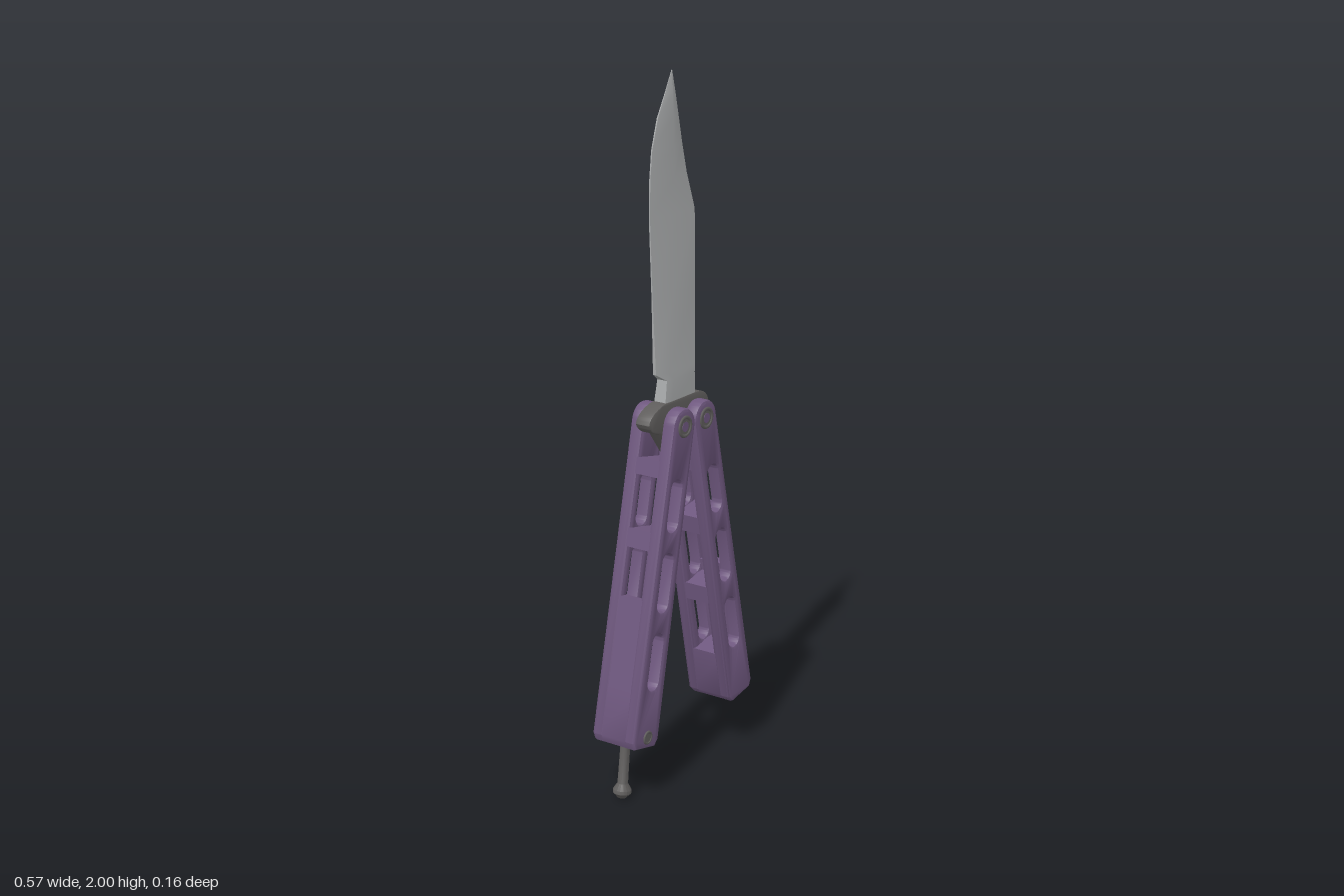
import * as THREE from 'three';
import { toCreasedNormals } from 'three/addons/utils/BufferGeometryUtils.js';

const material = (name, color) => {
  const m = new THREE.MeshStandardMaterial({ color });
  m.name = name;
  return m;
};

const PIVOT_X = 0.05, PIVOT_Y = 1.045, TILT = 0.206, LENGTH = 0.9;
const halfWidth = d => 0.05 + 0.007 * d / LENGTH;

function add(parent, name, geometry, mat, x = 0, y = 0, z = 0) {
  const mesh = new THREE.Mesh(geometry, mat);
  mesh.name = name;
  mesh.position.set(x, y, z);
  parent.add(mesh);
  return mesh;
}

// Extrudes a shape between z0 and z1, with an optional inset bevel
function slab(shape, z0, z1, bevel = 0) {
  const geo = new THREE.ExtrudeGeometry(shape, {
    depth: z1 - z0 - 2 * bevel, curveSegments: 12, bevelEnabled: bevel > 0,
    bevelSize: bevel, bevelThickness: bevel, bevelOffset: -bevel, bevelSegments: 2,
  });
  geo.translate(0, 0, z0 + bevel);
  return toCreasedNormals(geo, 0.6);
}

const polygon = pts => new THREE.Shape(pts.map(p => new THREE.Vector2(...p)));

// Round-ended slot between two distances below the pivot
function slot(d0, d1, r = 0.024) {
  const p = new THREE.Path();
  p.absarc(0, -d0 - r, r, 0, Math.PI, false);
  p.absarc(0, -d1 + r, r, Math.PI, Math.PI * 2, false);
  p.closePath();
  return p;
}

// Short cylinder along z
function disc(r, depth, sides = 24) {
  return new THREE.CylinderGeometry(r, r, depth, sides).rotateX(Math.PI / 2);
}

// Channel handle; side is +1 or -1, outer wall faces away from the middle
function makeHandle(side, purple, steel) {
  const g = new THREE.Group();
  g.name = side > 0 ? 'leftHandle' : 'rightHandle';
  g.position.set(side * PIVOT_X, PIVOT_Y, 0);
  g.rotation.z = side * TILT;

  // Slotted face plates
  const outline = new THREE.Shape();
  outline.absarc(0, 0, 0.05, 0, Math.PI, false);
  [[-0.057, -0.88], [-0.044, -LENGTH], [0.044, -LENGTH], [0.057, -0.88]]
    .forEach(p => outline.lineTo(...p));
  outline.closePath();
  outline.holes.push(slot(0.148, 0.292), slot(0.352, 0.516), slot(0.577, 0.735));
  add(g, 'frontPlate', slab(outline, 0.032, 0.073, 0.009), purple);
  add(g, 'backPlate', slab(outline, -0.073, -0.032, 0.009), purple);

  // Bridges joining the plates between the slots
  for (const [a, b] of [[0.1, 0.146], [0.296, 0.348], [0.52, 0.573]]) {
    const wa = halfWidth(a) - 0.001, wb = halfWidth(b) - 0.001;
    add(g, 'bridge', slab(polygon([[-wa, -a], [-wb, -b], [wb, -b], [wa, -a]]), -0.062, 0.062), purple);
  }

  // Solid butt end
  add(g, 'butt', slab(polygon([[-0.055, -0.74], [-0.0565, -0.88], [-0.0435, -LENGTH],
    [0.0435, -LENGTH], [0.0565, -0.88], [0.055, -0.74]]), -0.063, 0.063), purple);

  // Closed outer wall of the lower channel
  const x0 = side * 0.026, xa = side * (halfWidth(0.485) - 0.001), xb = side * (halfWidth(0.76) - 0.001);
  add(g, 'outerWall', slab(polygon([[x0, -0.485], [x0, -0.76], [xb, -0.76], [xa, -0.485]]), -0.062, 0.062), purple);

  // Pivot screw with raised rims
  add(g, 'pivotPin', disc(0.024, 0.148), steel);
  for (const z of [0.071, -0.074]) {
    add(g, 'pivotRim', new THREE.TorusGeometry(0.026, 0.006, 8, 28), steel, 0, 0, z);
    add(g, 'pivotCentre', disc(0.014, 0.004), purple, 0, 0, z + Math.sign(z) * 0.002);
  }
  return g;
}

// Blade lofted from sections: y, edge x, ridge x, spine x, half thickness at each
function bladeGeometry() {
  const rows = [
    [1.08, -0.07, -0.04, 0.07, 0.02, 0.021, 0.021],
    [1.165, -0.055, -0.03, 0.068, 0.016, 0.021, 0.021],
    [1.187, -0.09, -0.05, 0.07, 0.005, 0.018, 0.021],
    [1.4, -0.1, -0.03, 0.068, 0.002, 0.02, 0.021],
    [1.62, -0.111, -0.02, 0.066, 0.002, 0.02, 0.021],
    [1.72, -0.109, -0.02, 0.047, 0.002, 0.018, 0.008],
    [1.8, -0.1, -0.02, 0.032, 0.002, 0.015, 0.004],
    [1.88, -0.075, -0.018, 0.016, 0.002, 0.011, 0.003],
    [1.94, -0.042, -0.014, 0.004, 0.001, 0.007, 0.002],
    [2, -0.011, -0.01, -0.009, 0.0005, 0.001, 0.0005],
  ];
  const pos = [], index = [], n = 6;
  rows.forEach(([y, xl, xm, xr, tl, tm, tr], i) => {
    pos.push(xl, y, tl, xm, y, tm, xr, y, tr, xr, y, -tr, xm, y, -tm, xl, y, -tl);
    if (i === 0) return;
    for (let j = 0; j < n; j++) {
      const k = (j + 1) % n, a = (i - 1) * n, b = i * n;
      index.push(a + j, a + k, b + k, a + j, b + k, b + j);
    }
  });
  const geo = new THREE.BufferGeometry();
  geo.setAttribute('position', new THREE.Float32BufferAttribute(pos, 3));
  geo.setIndex(index);
  return toCreasedNormals(geo, 0.5);
}

export function createModel() {
  const purple = material('purple handle', 0x6f587f);
  const silver = material('silver blade', 0xa7a9aa);
  const steel = material('dark steel', 0x5f5d5c);

  const model = new THREE.Group();
  model.name = 'foldingKnife';

  add(model, 'blade', bladeGeometry(), silver);

  // Tang with side lobes and a lower point between the handles
  const tang = new THREE.Shape();
  tang.moveTo(0.07, 1.105);
  tang.quadraticCurveTo(0.13, 1.105, 0.134, 1.06);
  tang.quadraticCurveTo(0.125, 1.03, 0.09, 1.025);
  tang.lineTo(0.026, 0.94);
  tang.quadraticCurveTo(0, 0.9, -0.026, 0.94);
  tang.lineTo(-0.09, 1.025);
  tang.quadraticCurveTo(-0.135, 1.03, -0.146, 1.06);
  tang.quadraticCurveTo(-0.14, 1.09, -0.075, 1.105);
  tang.closePath();
  add(model, 'tang', slab(tang, -0.023, 0.023, 0.003), steel);

  for (const side of [1, -1]) model.add(makeHandle(side, purple, steel));

  // Latch hanging from the end of one handle
  const latch = new THREE.Group();
  latch.name = 'latch';
  latch.position.set(-0.226, 0.195, 0);
  latch.rotation.z = -0.12;
  add(latch, 'latchPin', disc(0.016, 0.15, 16), steel);
  for (const z of [0.073, -0.073])
    add(latch, 'latchRim', new THREE.TorusGeometry(0.016, 0.004, 8, 20), steel, 0, 0, z);
  const profile = [[0, -0.194], [0.012, -0.192], [0.026, -0.178], [0.026, -0.168],
    [0.015, -0.15], [0.014, -0.04], [0, -0.04]].map(p => new THREE.Vector2(...p));
  add(latch, 'latchShaft', toCreasedNormals(new THREE.LatheGeometry(profile, 16), 0.6), steel);
  model.add(latch);

  return model;
}
